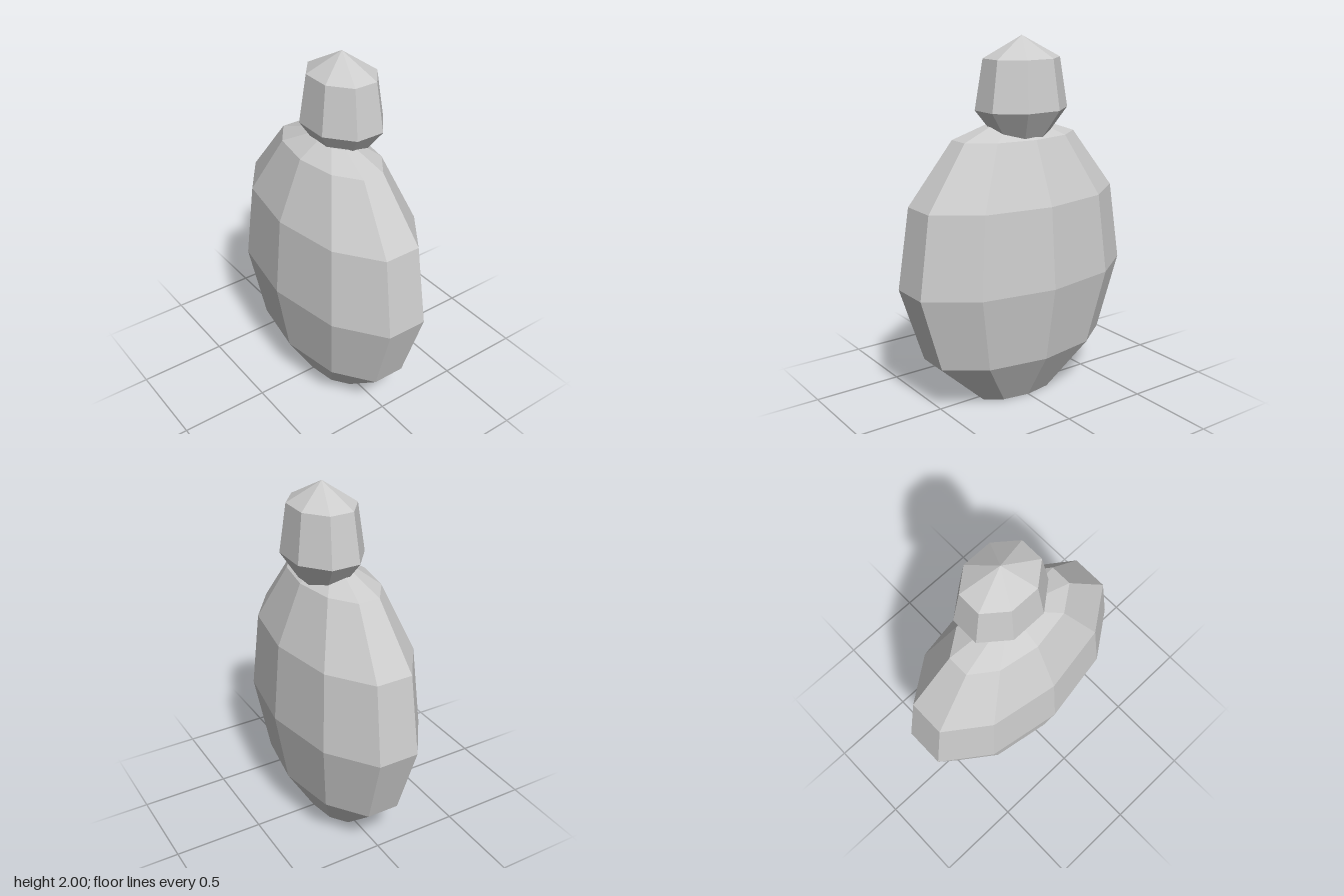
import * as THREE from 'three';

// Faceted solid of revolution, squashed to an oval; profile runs bottom to top.
function facetedOval(profile, sides, turn, depth) {
  const points = profile.map(([r, y]) => new THREE.Vector2(r, y));
  const lathe = new THREE.LatheGeometry(points, sides, turn);
  lathe.scale(1, 1, depth);
  const flat = lathe.toNonIndexed();
  flat.computeVertexNormals(); // one normal per facet
  return flat;
}

export function createModel() {
  const model = new THREE.Group();
  model.name = 'roundFigure';

  const grey = new THREE.MeshStandardMaterial({ color: 0xcccccc });
  grey.name = 'lightGrey';

  // Ten-sided body with a flat base and sloping shoulders
  const body = new THREE.Mesh(facetedOval([
    [0, 0], [0.257, 0], [0.568, 0.275], [0.705, 0.695],
    [0.636, 1.138], [0.376, 1.47], [0.17, 1.54], [0, 1.54],
  ], 10, 0, 0.524), grey);
  body.name = 'body';
  model.add(body);

  // Eight-sided head with a pointed top, its tapered neck sunk into the body
  const head = new THREE.Mesh(facetedOval([
    [0, 1.46], [0.135, 1.46], [0.263, 1.62], [0.217, 1.885], [0, 2],
  ], 8, Math.PI / 8, 0.803), grey);
  head.name = 'head';
  head.position.z = -0.065;
  model.add(head);

  return model;
}
